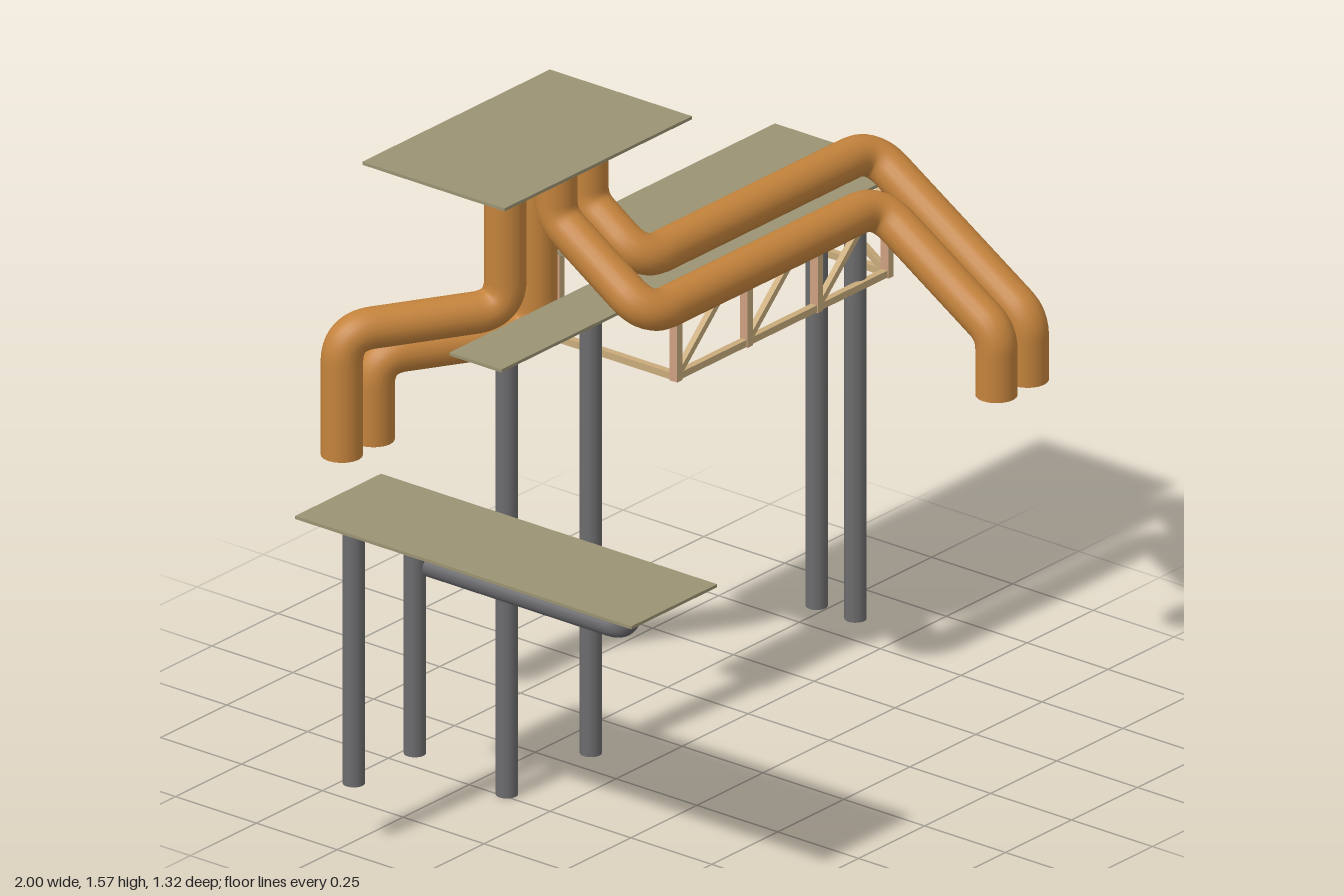
import * as THREE from 'three';

const material = (name, color, side = THREE.FrontSide) => {
  const m = new THREE.MeshStandardMaterial({ color, side });
  m.name = name;
  return m;
};

// Straight runs joined by rounded bends of centreline radius r
function bentPath(coords, r) {
  const pts = coords.map((c) => new THREE.Vector3(...c));
  const path = new THREE.CurvePath();
  let start = pts[0];
  for (let i = 1; i < pts.length - 1; i++) {
    const p = pts[i];
    const a = pts[i - 1].clone().sub(p).normalize();
    const b = pts[i + 1].clone().sub(p).normalize();
    const trim = r * Math.tan((Math.PI - a.angleTo(b)) / 2);
    const from = p.clone().addScaledVector(a, trim);
    const to = p.clone().addScaledVector(b, trim);
    path.add(new THREE.LineCurve3(start, from));
    path.add(new THREE.QuadraticBezierCurve3(from, p, to));
    start = to;
  }
  path.add(new THREE.LineCurve3(start, pts[pts.length - 1]));
  return path;
}

export function createModel() {
  const model = new THREE.Group();
  model.name = 'pipePlatforms';

  const copper = material('copper', 0xc4833c, THREE.DoubleSide);
  const steel = material('steel', 0x6c6c6e);
  const steelPipe = material('steelPipe', 0x66666a, THREE.DoubleSide);
  const deck = material('deck', 0x9b9373);
  const tan = material('tanTimber', 0xc9ab7b);
  const pink = material('pinkTimber', 0xcd9f80);

  const add = (parent, name, geometry, mat) => {
    const mesh = new THREE.Mesh(geometry, mat);
    mesh.name = name;
    parent.add(mesh);
    return mesh;
  };

  // Flat decks, drawn as a plan outline [x, z]
  const T = 0.008;
  const plate = (name, outline, y) => {
    const shape = new THREE.Shape(outline.map(([x, z]) => new THREE.Vector2(x, -z)));
    const geo = new THREE.ExtrudeGeometry(shape, { depth: T, bevelEnabled: false });
    geo.rotateX(-Math.PI / 2);
    add(model, name, geo, deck).position.y = y;
  };
  const rect = (x0, x1, z0, z1) => [[x0, z1], [x1, z1], [x1, z0], [x0, z0]];
  plate('topDeck', rect(-0.55, 0.16, -0.54, -0.1), 1.558);
  plate('lowDeck', rect(-1, -0.675, -0.38, 0.66), 0.829);
  plate('middleDeck', [[-0.55, -0.11], [1, -0.11], [1, -0.53], [0.08, -0.53],
    [0.08, -0.27], [-0.55, -0.27]], 1.134);

  // Support posts: x, z, bottom, top
  for (const [x, z, y0, y1] of [
    [-0.486, -0.145, 0, 1.135], [-0.168, -0.145, 0, 1.135],
    [0.853, -0.161, 0, 1.135], [0.853, -0.281, 0, 1.135],
    [-0.949, -0.24, 0.16, 0.83], [-0.718, -0.24, 0.16, 0.83],
  ]) {
    const post = add(model, 'supportPost', new THREE.CylinderGeometry(0.027, 0.027, y1 - y0, 20), steel);
    post.position.set(x, (y0 + y1) / 2, z);
  }

  // Large pipes: two run forward and down, two run back and down
  const pipe = (name, coords, radius, bend, mat) =>
    add(model, name, new THREE.TubeGeometry(bentPath(coords, bend), 170, radius, 20), mat);
  for (const [x, endX, y, z] of [[-0.187, 0.682, 1.2, 0.046], [-0.07, 0.8, 1.273, -0.07]]) {
    pipe('frontPipe', [[x, 1.559, -0.236], [x, 1.385, -0.236], [x, y, z],
      [endX, y, z], [endX, 0.965, 0.415], [endX, 0.803, 0.415]], 0.051, 0.078, copper);
  }
  for (const [x, endX, y] of [[-0.187, -0.545, 1.1], [-0.07, -0.425, 1.0]]) {
    pipe('backPipe', [[x, 1.559, -0.394], [x, y, -0.394],
      [endX, y, -0.607], [endX, 0.78, -0.607]], 0.051, 0.078, copper);
  }

  // Small pipe under the low deck
  pipe('drainPipe', [[-0.885, 0.83, 0.569], [-0.885, 0.755, 0.569], [-0.885, 0.755, -0.06]],
    0.025, 0.07, steelPipe);

  // Timber truss under the wide end of the middle deck
  const truss = new THREE.Group();
  truss.name = 'truss';
  model.add(truss);
  const beam = (name, from, to, size, mat) => {
    const a = new THREE.Vector3(...from);
    const b = new THREE.Vector3(...to);
    const mesh = add(truss, name, new THREE.BoxGeometry(size, size, a.distanceTo(b)), mat);
    mesh.position.copy(a).add(b).multiplyScalar(0.5);
    mesh.lookAt(b);
  };
  const xs = [0.14, 0.407, 0.673, 0.94];
  const front = -0.134, back = -0.498, low = 0.884, high = 1.13;
  const postSides = [pink, pink, tan, tan, tan, tan];
  for (const z of [front, back]) {
    beam('bottomChord', [xs[0], low, z], [xs[3], low, z], 0.018, tan);
    for (const x of xs) {
      const post = add(truss, 'trussPost', new THREE.BoxGeometry(0.02, 0.262, 0.024), postSides);
      post.position.set(x, 1.004, z);
    }
  }
  for (let i = 0; i < 3; i++) {
    beam('frontBrace', [xs[i], low, front], [xs[i + 1], high, front], 0.016, tan);
    beam('backBrace', [xs[i], high, back], [xs[i + 1], low, back], 0.016, pink);
  }
  beam('endChord', [xs[3], low, front], [xs[3], low, back], 0.018, tan);
  beam('endChord', [xs[0], low, front], [xs[0], low, back], 0.018, tan);
  beam('endBrace', [xs[3], low, front], [xs[3], high, back], 0.016, tan);
  beam('endBrace', [xs[0], high, front], [xs[0], low, back], 0.016, tan);

  return model;
}
